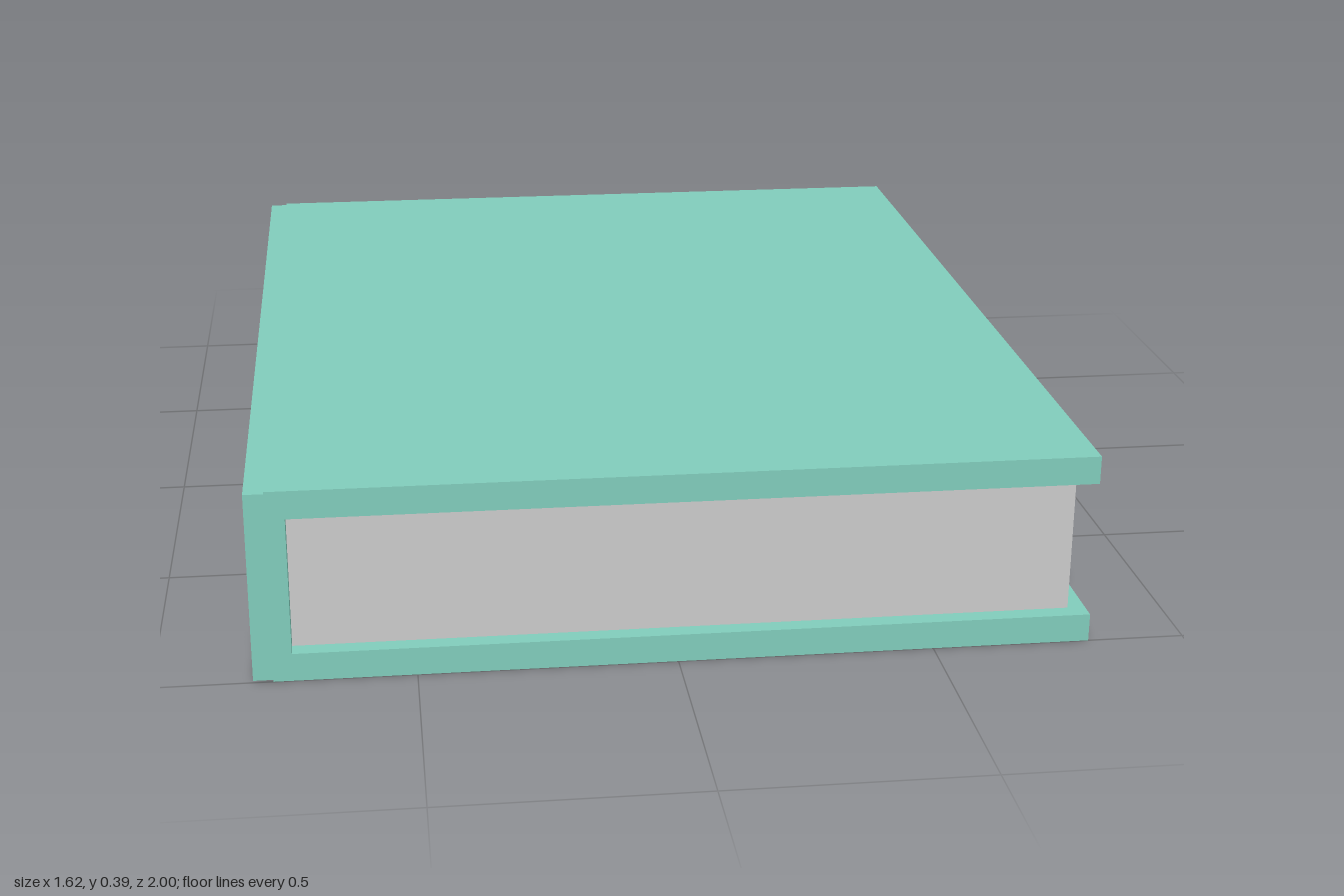
import * as THREE from 'three';

export function createModel() {
  const book = new THREE.Group();
  book.name = 'book';

  const coverMaterial = new THREE.MeshStandardMaterial({ color: 0x80cbba });
  coverMaterial.name = 'sea green cover';
  const paperMaterial = new THREE.MeshStandardMaterial({ color: 0xc9c9c9 });
  paperMaterial.name = 'light grey paper';

  // Adds a box spanning the given x and y ranges, centred on z
  const addSlab = (name, material, x0, x1, y0, y1, depth) => {
    const mesh = new THREE.Mesh(new THREE.BoxGeometry(x1 - x0, y1 - y0, depth), material);
    mesh.position.set((x0 + x1) / 2, (y0 + y1) / 2, 0);
    mesh.name = name;
    book.add(mesh);
  };

  // Boards start just inside the spine, which is slightly shorter than the book
  addSlab('bottomCover', coverMaterial, -0.772, 0.81, 0, 0.056, 2);
  addSlab('topCover', coverMaterial, -0.772, 0.81, 0.331, 0.387, 2);
  addSlab('spine', coverMaterial, -0.81, -0.735, 0.004, 0.383, 2);

  // Page block, set back from the cover edges
  addSlab('pages', paperMaterial, -0.737, 0.775, 0.054, 0.333, 1.93);

  return book;
}
